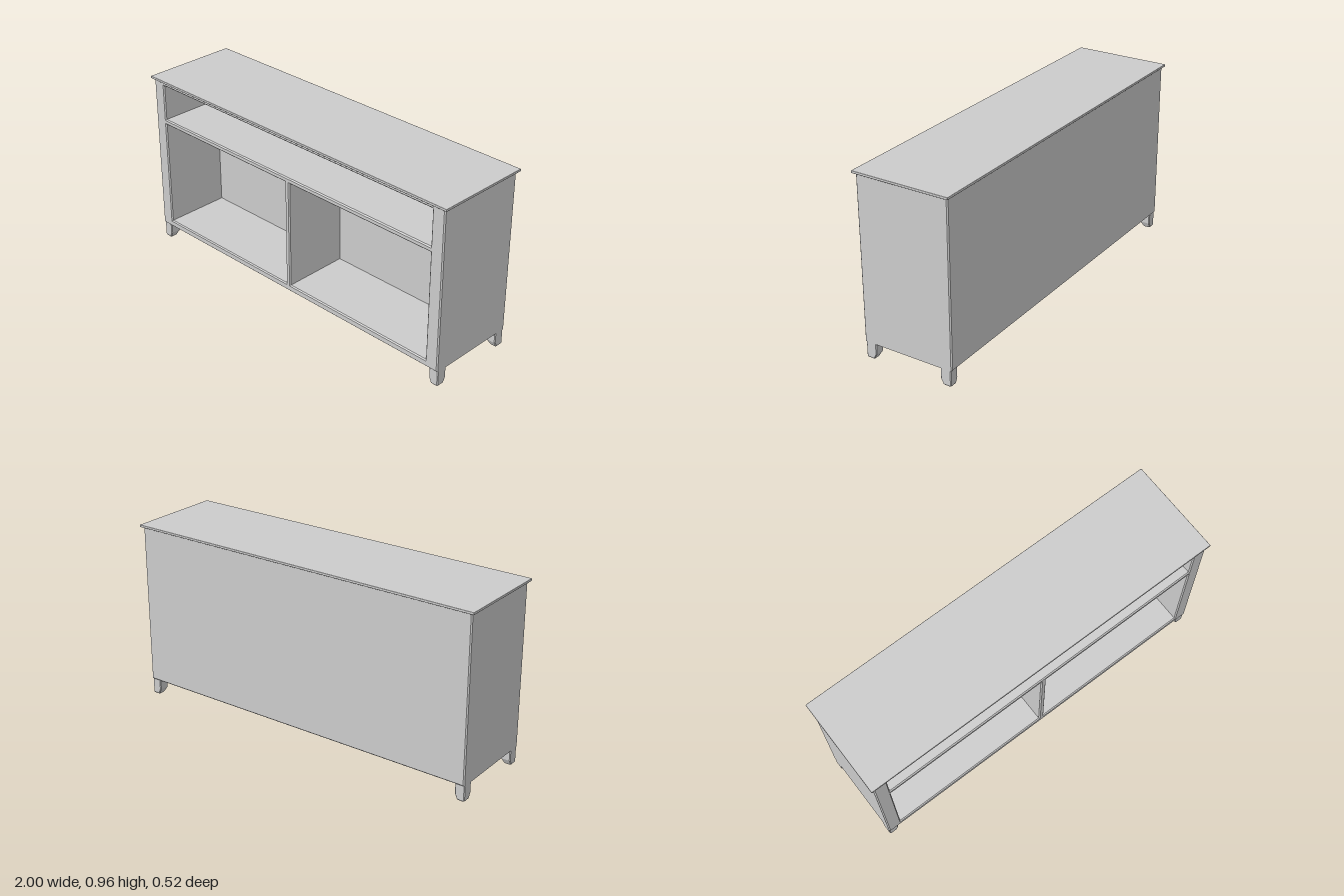
import * as THREE from 'three';
import { RoundedBoxGeometry } from 'three/addons/geometries/RoundedBoxGeometry.js';
import { ConvexGeometry } from 'three/addons/geometries/ConvexGeometry.js';

const material = new THREE.MeshStandardMaterial({ color: 0xcccccc });
const BEVEL = 0.006;

function rect(path, x0, x1, y0, y1) {
  path.moveTo(x0, y0);
  path.lineTo(x1, y0);
  path.lineTo(x1, y1);
  path.lineTo(x0, y1);
  path.closePath();
  return path;
}

// Chamfered slab of the cabinet outline between two depths, with optional openings
function slab(z0, z1, openings = []) {
  const shape = rect(new THREE.Shape(), -0.985, 0.985, 0.085, 0.952);
  for (const o of openings) shape.holes.push(rect(new THREE.Path(), ...o));
  const geo = new THREE.ExtrudeGeometry(shape, {
    depth: z1 - z0 - 2 * BEVEL,
    bevelEnabled: true,
    bevelThickness: BEVEL,
    bevelSize: BEVEL,
    bevelOffset: -BEVEL,
    bevelSegments: 1,
  });
  return geo.translate(0, 0, z0 + BEVEL);
}

// Foot: straight outside, inner faces taper towards the floor, chamfered corners
function footGeometry(sx, sz) {
  const levels = [
    // y, inner x, inner z, inset of the outline
    [0.1, 0.932, 0.185, 0],
    [0.03, 0.932, 0.185, 0],
    [0.005, 0.943, 0.198, 0],
    [0, 0.946, 0.201, 0.004],
  ];
  const c = 0.004;
  const points = [];
  for (const [y, xi, zi, inset] of levels) {
    const xs = [xi, 0.985 - inset], zs = [zi, 0.243 - inset];
    for (const i of [0, 1]) for (const j of [0, 1]) {
      const dx = i ? -c : c, dz = j ? -c : c;
      points.push(new THREE.Vector3(sx * (xs[i] + dx), y, sz * zs[j]));
      points.push(new THREE.Vector3(sx * xs[i], y, sz * (zs[j] + dz)));
    }
  }
  return new ConvexGeometry(points);
}

export function createModel() {
  const model = new THREE.Group();
  model.name = 'sideboard';
  const add = (name, geo) => {
    const mesh = new THREE.Mesh(geo, material);
    mesh.name = name;
    model.add(mesh);
    return mesh;
  };

  // Carcass with one wide shelf niche above two compartments
  add('carcass', slab(-0.13, 0.25, [
    [-0.912, 0.912, 0.735, 0.928],
    [-0.912, -0.015, 0.122, 0.706],
    [0.015, 0.912, 0.122, 0.706],
  ]));

  // Deep back closing the niches
  add('back', slab(-0.25, -0.11));

  // Overhanging top board
  add('topBoard', new RoundedBoxGeometry(2, 0.013, 0.524, 1, 0.003)).position.y = 0.9565;

  // Four feet, mirrored
  for (const sx of [-1, 1]) for (const sz of [-1, 1]) {
    add(`${sz > 0 ? 'front' : 'back'}${sx > 0 ? 'Left' : 'Right'}Foot`, footGeometry(sx, sz));
  }
  return model;
}
